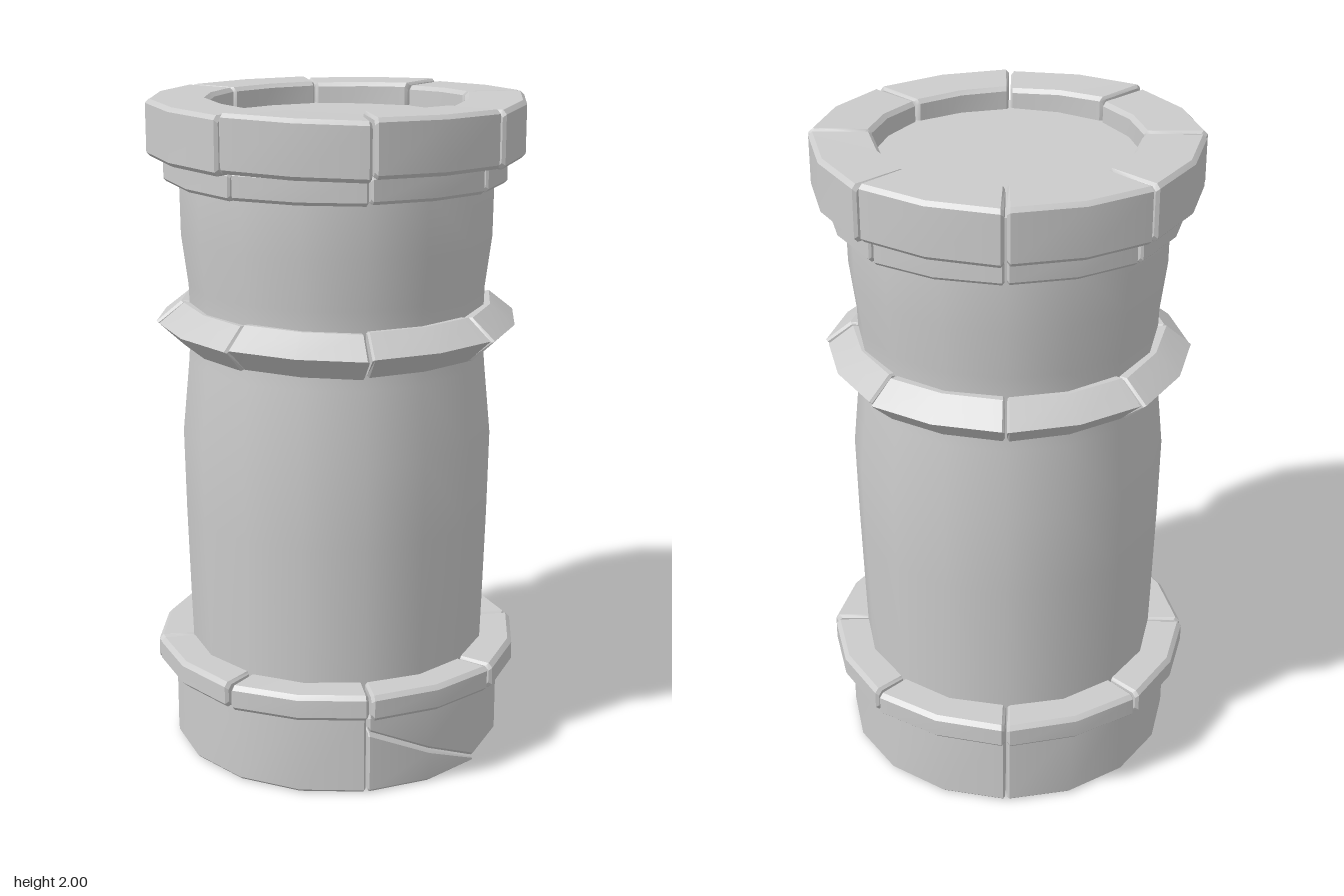
import * as THREE from 'three';
import { toCreasedNormals } from 'three/addons/utils/BufferGeometryUtils.js';

const stone = new THREE.MeshStandardMaterial({ color: 0xcccccc });
const STEP = Math.PI / 8; // all masonry follows a 16-sided plan

// small seeded generator for uneven stonework, -1..1
let seed = 7;
const wobble = () => {
  seed = (seed * 16807) % 2147483647;
  return (seed / 2147483647) * 2 - 1;
};

// chamfered rectangle in (radius, height), counter-clockwise
const slab = (r0, r1, y0, y1, b) => [
  [r0, y0 + b], [r0 + b, y0], [r1 - b, y0], [r1, y0 + b],
  [r1, y1 - b], [r1 - b, y1], [r0 + b, y1], [r0, y1 - b],
];

// one curved block: sweeps profileAt(angle) from a0 to a1, with bevelled ends
function blockGeometry(profileAt, a0, a1, bevel) {
  const ease = bevel * 2;
  const stops = [[a0, bevel], [a0 + ease, 0]];
  const parts = Math.round((a1 - a0) / STEP);
  for (let k = 1; k < parts; k++) stops.push([a0 + ((a1 - a0) * k) / parts, 0]);
  stops.push([a1 - ease, 0], [a1, bevel]);

  const pos = [], idx = [];
  let n = 0;
  stops.forEach(([a, inset]) => {
    const pts = profileAt(a);
    n = pts.length;
    const cr = pts.reduce((s, p) => s + p[0], 0) / n;
    const cy = pts.reduce((s, p) => s + p[1], 0) / n;
    pts.forEach(([r, y]) => {
      const rr = r - Math.sign(r - cr) * Math.min(inset, Math.abs(r - cr));
      const yy = y - Math.sign(y - cy) * Math.min(inset, Math.abs(y - cy));
      pos.push(rr * Math.sin(a), yy, rr * Math.cos(a));
    });
  });
  const last = (stops.length - 1) * n;
  for (let s = 0; s < stops.length - 1; s++) {
    for (let i = 0; i < n; i++) {
      const j = (i + 1) % n;
      const a = s * n + i, b = a + n, c = (s + 1) * n + j, d = s * n + j;
      idx.push(a, b, c, a, c, d);
    }
  }
  for (let i = 1; i < n - 1; i++) idx.push(0, i, i + 1, last, last + i + 1, last + i);

  const g = new THREE.BufferGeometry();
  g.setAttribute('position', new THREE.Float32BufferAttribute(pos, 3));
  g.setIndex(idx);
  return toCreasedNormals(g, 0.5);
}

function addBlock(group, name, profileAt, a0, a1, bevel) {
  const mesh = new THREE.Mesh(blockGeometry(profileAt, a0, a1, bevel), stone);
  mesh.name = name;
  group.add(mesh);
}

// a ring of eight slightly uneven blocks with thin joints
function blockRing(name, profile, bevel, uneven) {
  const ring = new THREE.Group();
  ring.name = name;
  const gap = 0.007;
  for (let i = 0; i < 8; i++) {
    const a0 = i * 2 * STEP, a1 = a0 + 2 * STEP;
    const dr = wobble() * uneven, tilt = wobble() * uneven;
    const profileAt = (a) => {
      const t = (a - a0) / (a1 - a0);
      return profile.map(([r, y]) => [
        r + dr - 0.006 * Math.sin(t * Math.PI),
        Math.min(2, y + tilt * (t * 2 - 1)),
      ]);
    };
    addBlock(ring, name + 'Block', profileAt, a0 + gap, a1 - gap, bevel);
  }
  return ring;
}

function disc(name, radius, y, faceUp) {
  const mesh = new THREE.Mesh(new THREE.CircleGeometry(radius, 16), stone);
  mesh.rotation.x = faceUp ? -Math.PI / 2 : Math.PI / 2;
  mesh.position.y = y;
  mesh.name = name;
  return mesh;
}

export function createModel() {
  const model = new THREE.Group();
  model.name = 'stoneColumn';

  // swelling shaft with a narrow neck behind the rib
  const outline = [
    [0.455, 0.29], [0.46, 0.45], [0.468, 0.75], [0.472, 1.0], [0.45, 1.22],
    [0.443, 1.33], [0.447, 1.45], [0.466, 1.6], [0.468, 1.78], [0.46, 1.93],
  ].map(([r, y]) => new THREE.Vector2(r, y));
  const shaft = new THREE.Mesh(new THREE.LatheGeometry(outline, 16), stone);
  shaft.name = 'shaft';
  model.add(shaft, disc('topPanel', 0.46, 1.93, true), disc('shaftUnderside', 0.455, 0.29, false));

  // base of four large stones, hollow in the middle
  const base = new THREE.Group();
  base.name = 'base';
  const baseSlab = (y0, y1) => slab(0.34, 0.51, y0, y1, Math.min(0.008, (y1 - y0) / 3));
  const gap = 0.007;
  for (let i = 0; i < 4; i++) {
    const a0 = (2 + i * 4) * STEP, a1 = a0 + 4 * STEP;
    if (i > 0) {
      addBlock(base, 'baseStone', () => baseSlab(0, 0.25), a0 + gap, a1 - gap, 0.006);
      continue;
    }
    // the left stone is split by a slanting crack
    const crackY = (a) => Math.max(0.015, 0.2 - 0.185 * ((a - a0) / (2 * STEP)));
    addBlock(base, 'crackedStone', (a) => baseSlab(crackY(a), 0.25), a0 + gap, a1 - gap, 0.006);
    addBlock(base, 'brokenWedge', (a) => baseSlab(0, crackY(a) - 0.006), a0 + gap, a0 + 2 * STEP, 0.004);
  }
  model.add(base);

  // rings from bottom to top
  model.add(blockRing('lowerRing', slab(0.38, 0.562, 0.25, 0.33, 0.013), 0.008, 0.004));
  const ribProfile = [[0.41, 1.27], [0.465, 1.265], [0.54, 1.335], [0.465, 1.395], [0.41, 1.39]];
  model.add(blockRing('middleRib', ribProfile, 0.006, 0.006));
  model.add(blockRing('collar', slab(0.4, 0.512, 1.755, 1.835, 0.01), 0.006, 0.004));
  model.add(blockRing('topRing', slab(0.38, 0.56, 1.83, 1.995, 0.012), 0.008, 0.007));

  return model;
}
